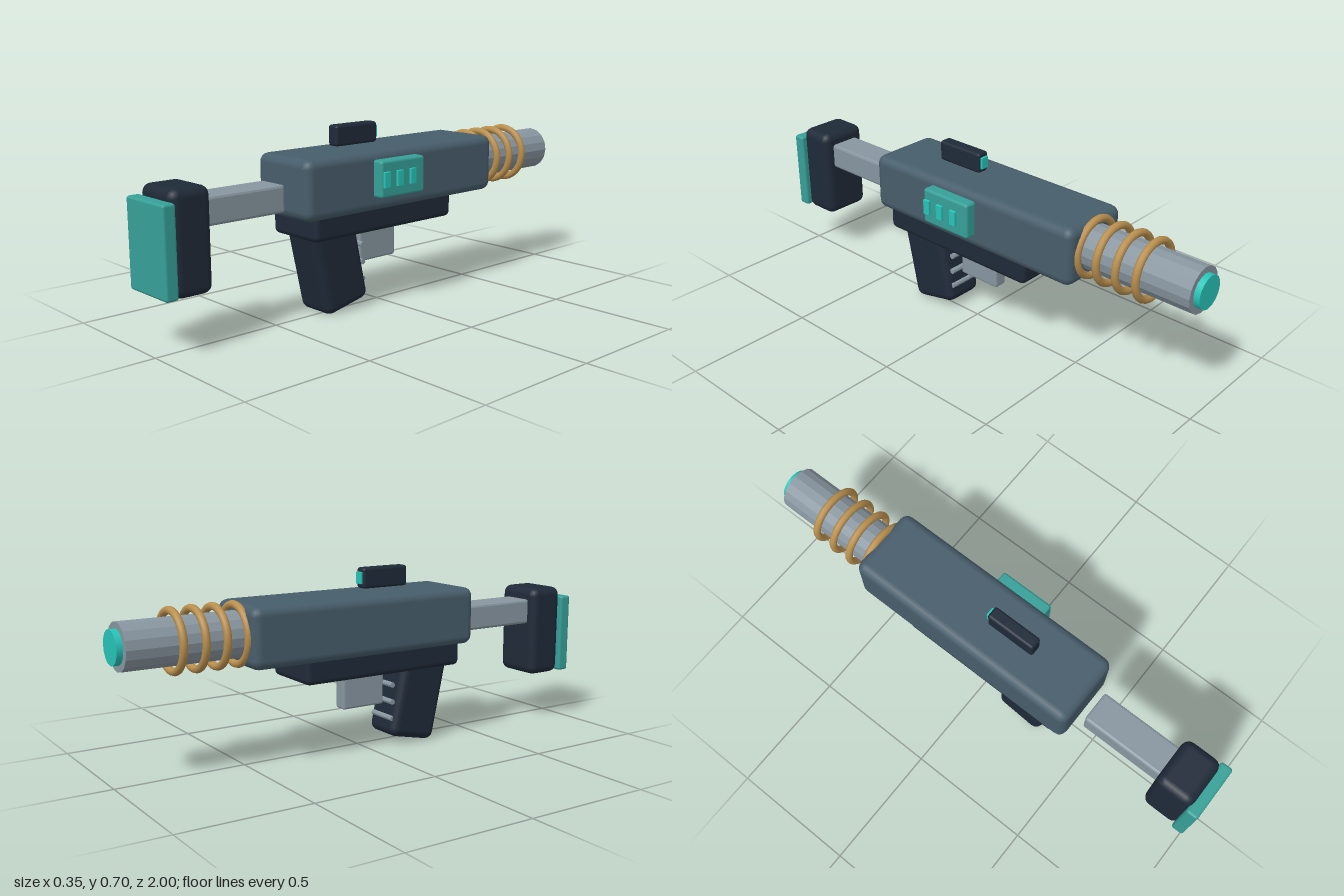
import * as THREE from 'three';
import { RoundedBoxGeometry } from 'three/addons/geometries/RoundedBoxGeometry.js';

export function createModel() {
  const model = new THREE.Group();
  model.name = 'toyBlaster';

  const mat = (name, color, flat = false) => {
    const m = new THREE.MeshStandardMaterial({ color, flatShading: flat });
    m.name = name;
    return m;
  };
  const slate = mat('slate', 0x475d6b);
  const dark = mat('darkNavy', 0x1f2a38);
  const teal = mat('teal', 0x36a098);
  const glow = mat('brightTeal', 0x27c4b8);
  const steel = mat('steel', 0x8896a0, true);
  const brass = mat('brass', 0xb98f4e);

  // The gun's centre plane lies slightly to the right of the origin
  const CX = -0.028;

  const add = (name, geometry, material, x, y, z) => {
    const mesh = new THREE.Mesh(geometry, material);
    mesh.name = name;
    mesh.position.set(x, y, z);
    model.add(mesh);
    return mesh;
  };
  // Rounded box given by its extents
  const box = (name, material, [x0, x1], [y0, y1], [z0, z1], r, seg = 2) =>
    add(name, new RoundedBoxGeometry(x1 - x0, y1 - y0, z1 - z0, seg, r), material,
      (x0 + x1) / 2, (y0 + y1) / 2, (z0 + z1) / 2);
  const centred = (w) => [CX - w / 2, CX + w / 2];

  // Body and lower receiver
  box('body', slate, centred(0.297), [0.382, 0.608], [-0.541, 0.44], 0.035);
  box('lowerReceiver', dark, centred(0.254), [0.299, 0.42], [-0.318, 0.387], 0.022);

  // Raked grip with finger ribs
  const grip = add('grip', new RoundedBoxGeometry(0.174, 0.36, 0.21, 2, 0.033), dark, CX, 0.19, 0.229);
  grip.rotation.x = 0.215;
  for (const y of [0.24, 0.172, 0.105]) {
    const rib = add('gripRib', new THREE.CylinderGeometry(0.011, 0.011, 0.13, 8), steel, CX, y, 0.105);
    rib.rotation.z = Math.PI / 2;
  }
  box('trigger', steel, centred(0.056), [0.16, 0.29], [-0.099, 0.087], 0.008, 1);

  // Stock
  box('stockBar', steel, centred(0.127), [0.417, 0.519], [0.474, 0.84], 0.01, 1);
  box('stockPad', dark, centred(0.203), [0.197, 0.567], [0.803, 0.958], 0.033);
  box('buttPlate', teal, centred(0.228), [0.205, 0.527], [0.95, 1.0], 0.01);

  // Sight with lens
  box('sight', dark, centred(0.051), [0.62, 0.70], [-0.005, 0.199], 0.011);
  box('sightLens', glow, centred(0.034), [0.638, 0.684], [-0.014, 0.01], 0.002, 1);

  // Power pack on the left side
  box('powerPack', teal, [0.105, 0.164], [0.437, 0.578], [-0.097, 0.127], 0.011);
  for (const z of [0.104, 0.038, -0.03]) {
    box('indicatorLight', glow, [0.158, 0.174], [0.477, 0.537], [z - 0.015, z + 0.015], 0.002, 1);
  }

  // Barrel, muzzle and coils along z
  const tube = (name, material, r, z0, z1) => {
    const m = add(name, new THREE.CylinderGeometry(r, r, z1 - z0, 16), material, CX, 0.497, (z0 + z1) / 2);
    m.rotation.x = Math.PI / 2;
  };
  tube('barrel', steel, 0.087, -0.977, -0.5);
  tube('muzzle', glow, 0.063, -1.0, -0.96);
  for (const z of [-0.54, -0.62, -0.70, -0.783]) {
    add('coil', new THREE.TorusGeometry(0.107, 0.0145, 10, 32), brass, CX, 0.497, z);
  }

  return model;
}
